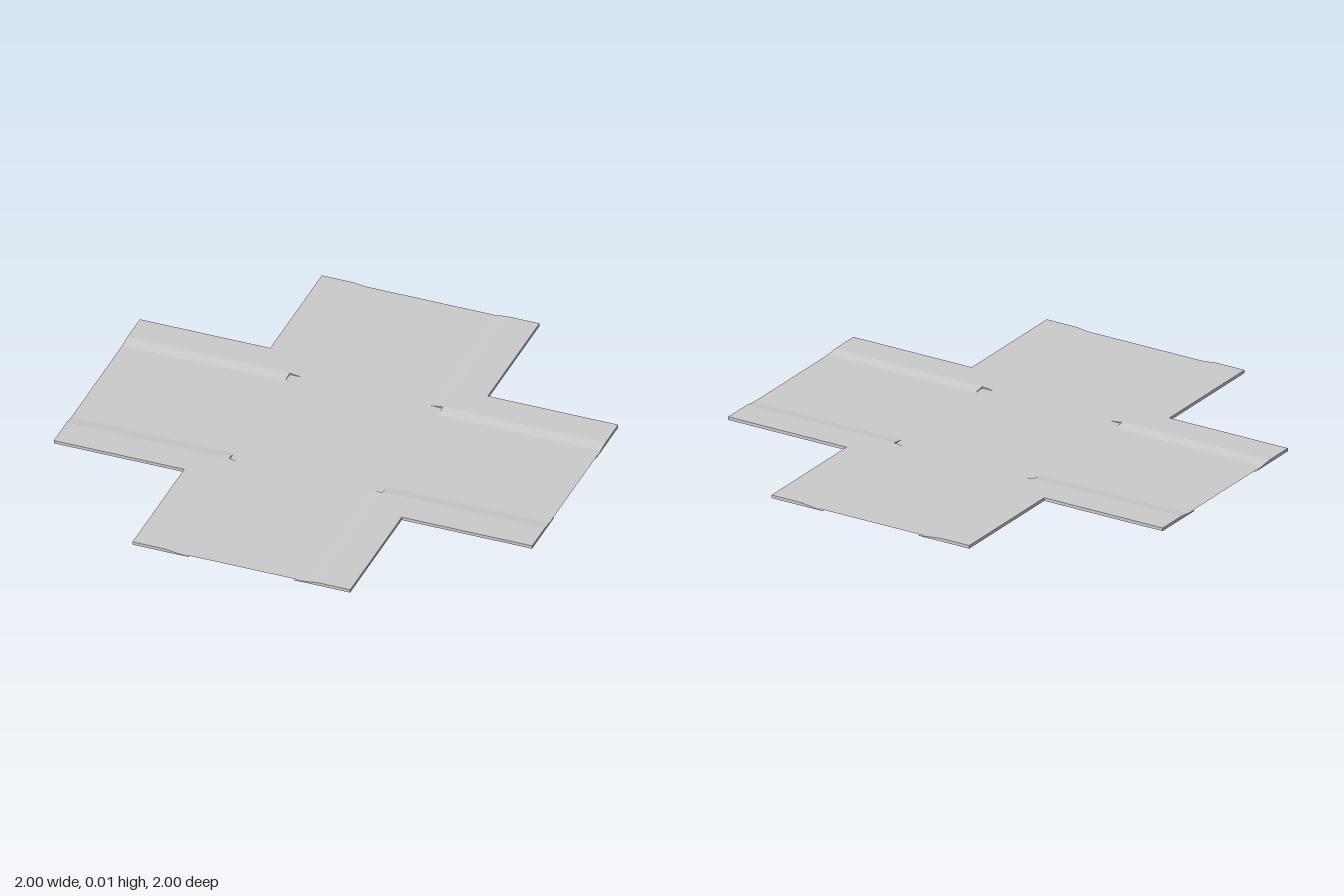
import * as THREE from 'three';

const H = 0.013;      // pavement height
const TIP = 0.22;     // foot of the kerb slope
const KERB = 0.32;    // top of the kerb slope
const EDGE = 0.455;   // half width of each arm
const END = 1;        // arm length from the centre

const shapeOf = (pts) => new THREE.Shape(pts.map(([x, y]) => new THREE.Vector2(x, y)));
const extrude = (pts, depth) =>
  new THREE.ExtrudeGeometry(shapeOf(pts), { depth, bevelEnabled: false });

export function createModel() {
  const model = new THREE.Group();
  model.name = 'crossroads';
  const grey = new THREE.MeshStandardMaterial({ color: 0xcccccc, side: THREE.DoubleSide, flatShading: true });
  const add = (parent, name, geometry) => {
    const mesh = new THREE.Mesh(geometry, grey);
    mesh.name = name;
    parent.add(mesh);
  };

  // Road: a thin cross cutting through the kerb slopes at half height
  const k = KERB, e = END;
  const road = new THREE.ShapeGeometry(shapeOf([
    [k, k], [k, e], [-k, e], [-k, k], [-e, k], [-e, -k],
    [-k, -k], [-k, -e], [k, -e], [k, -k], [e, -k], [e, k],
  ]));
  road.rotateX(-Math.PI / 2).translate(0, H / 2, 0);
  add(model, 'road', road);

  // L-shaped pavement and the two kerb slopes of one corner
  const pavement = extrude([
    [KERB, KERB], [END, KERB], [END, EDGE], [EDGE, EDGE], [EDGE, END], [KERB, END],
  ], H).rotateX(-Math.PI / 2);
  const slope = [[TIP, 0], [KERB, 0], [KERB, H]];
  const kerbZ = extrude(slope, END - KERB).translate(0, 0, -END);
  const kerbX = extrude(slope, END - KERB).translate(0, 0, KERB).rotateY(Math.PI / 2);

  // Repeat the corner around the crossing
  for (let i = 0; i < 4; i++) {
    const corner = new THREE.Group();
    corner.name = `corner${i + 1}`;
    add(corner, 'pavement', pavement);
    add(corner, 'kerbAlongZ', kerbZ);
    add(corner, 'kerbAlongX', kerbX);
    corner.rotation.y = i * Math.PI / 2;
    model.add(corner);
  }
  return model;
}
